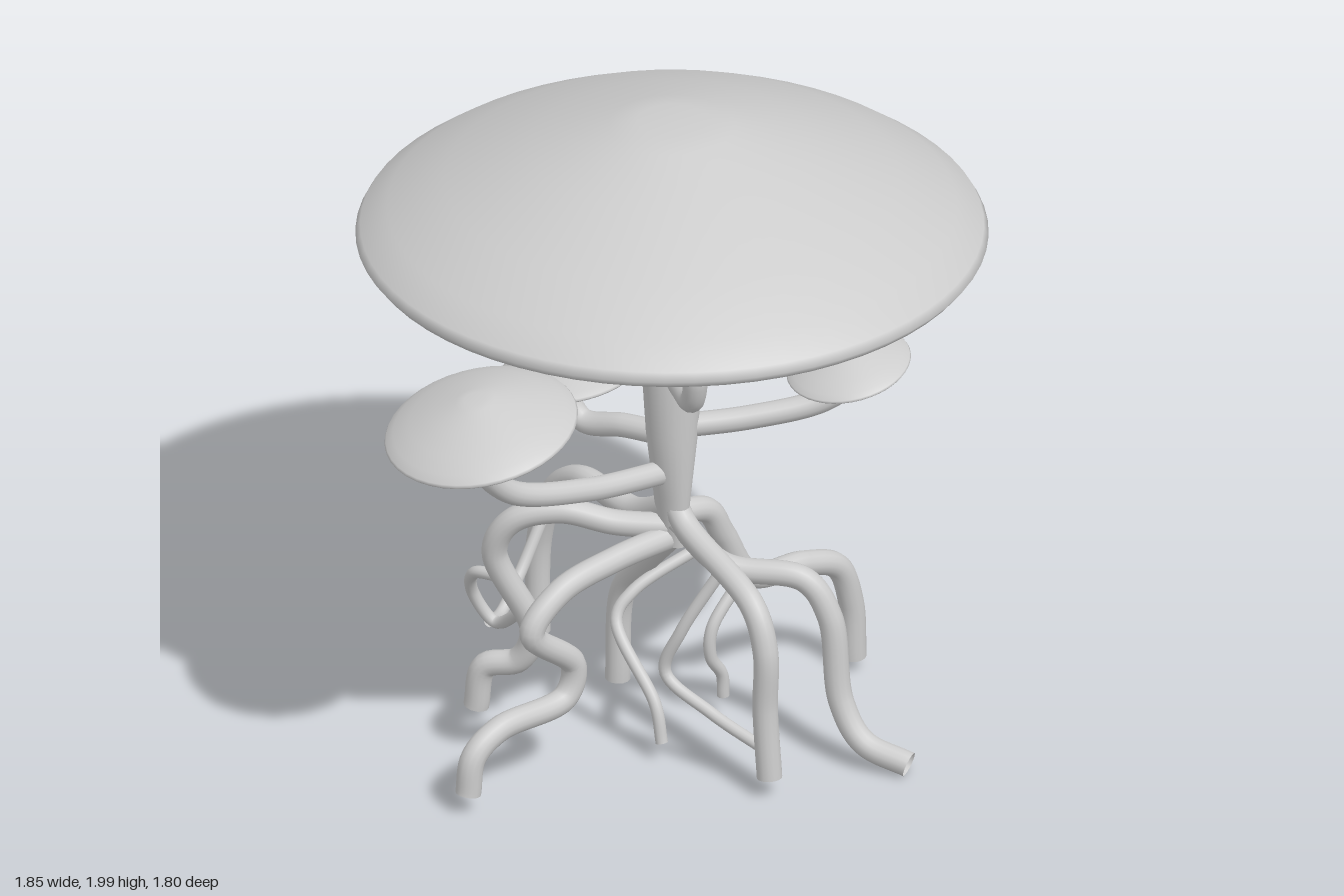
import * as THREE from 'three';

const CX = 0.025; // trunk axis
const { lerp } = THREE.MathUtils;

export function createModel() {
  const group = new THREE.Group();
  const mat = new THREE.MeshStandardMaterial({ color: 0xcccccc, side: THREE.DoubleSide });

  const add = (name, geometry) => {
    const mesh = new THREE.Mesh(geometry, mat);
    mesh.name = name;
    group.add(mesh);
    return mesh;
  };

  // Round open-ended tube through points
  const tube = (name, radius, points) => {
    const curve = new THREE.CatmullRomCurve3(points.map(p => new THREE.Vector3(...p)), false, 'centripetal');
    add(name, new THREE.TubeGeometry(curve, points.length * 10, radius, 14));
  };
  const root = (...points) => tube('root', 0.037, points);
  const rootlet = (...points) => tube('rootlet', 0.018, points);
  // Points lying in the side-to-side plane and in the front-to-back plane
  const across = (x, y) => [x, y, 0];
  const along = (z, y) => [CX, y, z];

  // Shallow cone with a rounded rim and bulging underside; rim plane at y = 0
  const capGeometry = (r, top, under, sides) => {
    const points = [];
    for (let i = 0; i <= 8; i++) { // underside, centre to rim
      const a = i / 8 * Math.PI / 2;
      points.push(new THREE.Vector2(r * Math.sin(a), -under * Math.cos(a)));
    }
    for (const [x, y] of [[0.985, 0.07], [0.9, 0.23], [0.72, 0.48], [0.45, 0.76], [0.2, 0.96], [0.11, 1], [0, 1]]) {
      points.push(new THREE.Vector2(r * x, top * y));
    }
    return new THREE.LatheGeometry(points, sides);
  };

  // Main cap
  add('mainCap', capGeometry(0.9, 0.36, 0.115, 64)).position.set(CX, 1.64, 0);

  // Trunk: oval sections [y, half width in x, half depth in z]
  const sections = [[0.64, 0.03, 0.05], [0.8, 0.045, 0.066], [1.0, 0.075, 0.075], [1.2, 0.09, 0.08], [1.55, 0.135, 0.09]];
  const rows = sections.length - 1;
  const trunk = new THREE.CylinderGeometry(1, 1, rows, 24, rows);
  const pos = trunk.attributes.position;
  for (let i = 0; i < pos.count; i++) {
    const [y, rx, rz] = sections[Math.round(pos.getY(i) + rows / 2)];
    pos.setXYZ(i, CX + pos.getX(i) * rx, y, pos.getZ(i) * rz);
  }
  trunk.computeVertexNormals();
  add('trunk', trunk);

  // Small cap at (x, y, z) tilted by its up slopes, on a stem that leaves
  // the trunk at startY, runs outward and turns up at bendY
  const branch = (x, y, z, r, slopeX, slopeZ, startY, bendY) => {
    const cap = add('smallCap', capGeometry(r, r * 0.37, r * 0.12, 40));
    cap.position.set(x, y, z);
    cap.quaternion.setFromUnitVectors(new THREE.Vector3(0, 1, 0), new THREE.Vector3(slopeX, 1, slopeZ).normalize());
    const at = (t, height) => [lerp(CX, x, t), height, z * t];
    tube('capStem', 0.035, [
      at(0, startY), at(0.45, lerp(startY, bendY, 0.3)), at(0.85, bendY), at(1, lerp(bendY, y, 0.5)), at(1, y),
    ]);
  };
  branch(-0.655, 1.23, -0.01, 0.28, -0.24, 0, 0.87, 0.99);
  branch(-0.235, 1.37, 0, 0.16, -0.2, 0, 1.27, 1.27);
  branch(-0.09, 1.375, 0.255, 0.14, -0.2, -0.45, 1.19, 1.22);
  branch(0.345, 1.35, 0, 0.175, -0.22, 0, 1.13, 1.2);
  branch(0.505, 1.43, -0.4, 0.175, -0.15, 0.66, 1.34, 1.235);
  branch(0.455, 1.18, 0.265, 0.18, -0.23, 0, 1.01, 1.07);
  branch(-0.1, 1.09, -0.325, 0.205, -0.08, -0.13, 0.98, 0.95);

  // Thick roots: front, back, left and right
  root(along(0, 0.79), along(0.06, 0.72), along(0.37, 0.59), along(0.43, 0.47), along(0.43, 0.28), along(0.45, 0.07));
  root(along(0, 0.76), along(-0.17, 0.67), along(-0.42, 0.665), along(-0.54, 0.58), along(-0.61, 0.4), along(-0.62, 0.09));
  root(across(CX, 0.73), across(0.15, 0.7), across(0.21, 0.6), across(0.31, 0.435), across(0.5, 0.41),
    across(0.62, 0.36), across(0.67, 0.23), across(0.68, 0.05));
  root(across(CX, 0.66), across(-0.18, 0.65), across(-0.38, 0.61), across(-0.48, 0.51), across(-0.33, 0.36),
    across(-0.36, 0.265), across(-0.6, 0.24), across(-0.69, 0.18), across(-0.71, 0.07));

  // Thick roots: front left, back right, and a short one behind
  root([CX, 0.72, 0.02], [0.1, 0.6, 0.14], [0.26, 0.57, 0.31], [0.305, 0.46, 0.37], [0.315, 0.2, 0.41],
    [0.34, 0.09, 0.48], [0.41, 0.045, 0.6]);
  root([CX, 0.69, 0], [-0.1, 0.7, -0.1], [-0.22, 0.735, -0.2], [-0.32, 0.7, -0.29], [-0.35, 0.59, -0.34],
    [-0.25, 0.32, -0.29], [-0.27, 0.215, -0.33], [-0.33, 0.18, -0.41], [-0.345, 0.05, -0.43]);
  root([CX, 0.66, 0], [0.035, 0.5, -0.15], [0.04, 0.36, -0.25], [0.04, 0.08, -0.27]);

  // Thin rootlets growing from the roots
  rootlet([0.2, 0.56, -0.05], [-0.03, 0.45, -0.11], [-0.09, 0.38, -0.11], [-0.09, 0.18, 0.07], [-0.09, 0.07, 0.1]);
  rootlet([CX, 0.63, 0.22], [-0.06, 0.44, 0.15], [-0.085, 0.3, 0.11], [-0.03, 0.21, 0.25], [CX, 0.15, 0.43]);
  rootlet(across(0.29, 0.45), across(0.17, 0.31), across(0.165, 0.22), across(0.205, 0.15), across(0.21, 0.08));
  rootlet([-0.33, 0.5, -0.34], [-0.35, 0.48, -0.43], [-0.32, 0.39, -0.48], [-0.27, 0.29, -0.44], [-0.27, 0.39, -0.3]);
  rootlet([-0.28, 0.29, -0.45], [-0.2, 0.27, -0.5], [-0.1, 0.35, -0.54], [CX, 0.54, -0.56]);

  return group;
}
